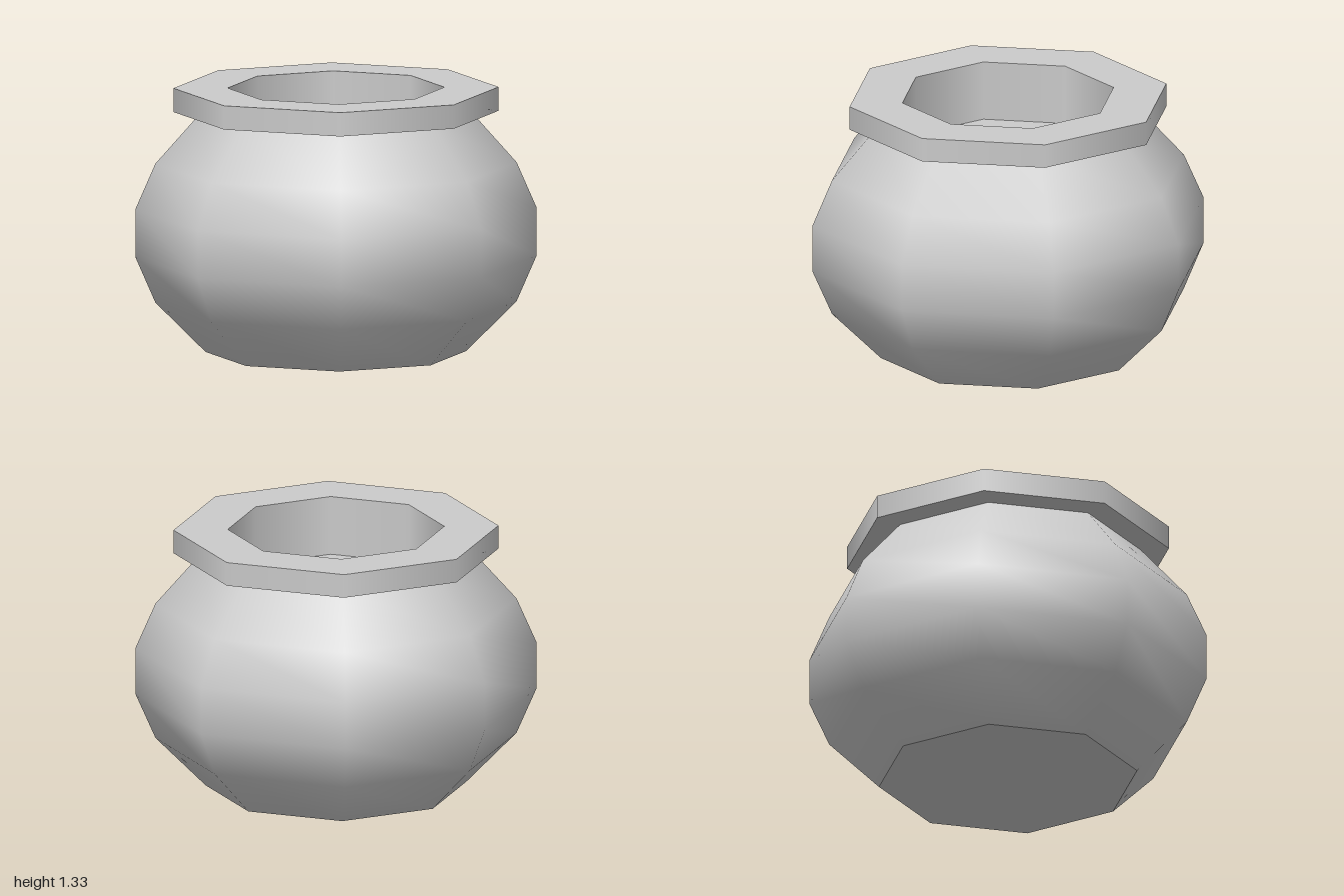
import * as THREE from 'three';
import { mergeGeometries } from 'three/addons/utils/BufferGeometryUtils.js';

const SIDES = 8;
const material = new THREE.MeshStandardMaterial({ color: 0xcccccc });

// Revolve each profile separately, so the edges between them stay sharp
function turned(name, ...profiles) {
  const shells = profiles.map((points) =>
    new THREE.LatheGeometry(points.map(([r, y]) => new THREE.Vector2(r, y)), SIDES));
  const mesh = new THREE.Mesh(mergeGeometries(shells), material);
  mesh.name = name;
  return mesh;
}

export function createModel() {
  const group = new THREE.Group();
  group.name = 'pot';
  const neckY = 1.21, topY = 1.33, fillY = 1.03;
  const neckR = 0.67, rimR = 0.81, holeR = 0.54;

  // Round belly with a flat base
  group.add(turned('body',
    [[0, 0], [0.65, 0]],
    [[0.65, 0], [0.9, 0.25], [1, 0.48], [1, 0.72], [0.9, 0.95], [neckR, neckY]]));

  // Flat overhanging rim: underside, outer wall, top, inner wall
  group.add(turned('rim',
    [[holeR, neckY], [rimR, neckY]],
    [[rimR, neckY], [rimR, topY]],
    [[rimR, topY], [holeR, topY]],
    [[holeR, topY], [holeR, fillY]]));

  // Floor of the opening
  group.add(turned('innerFloor', [[holeR, fillY], [0, fillY]]));

  return group;
}
